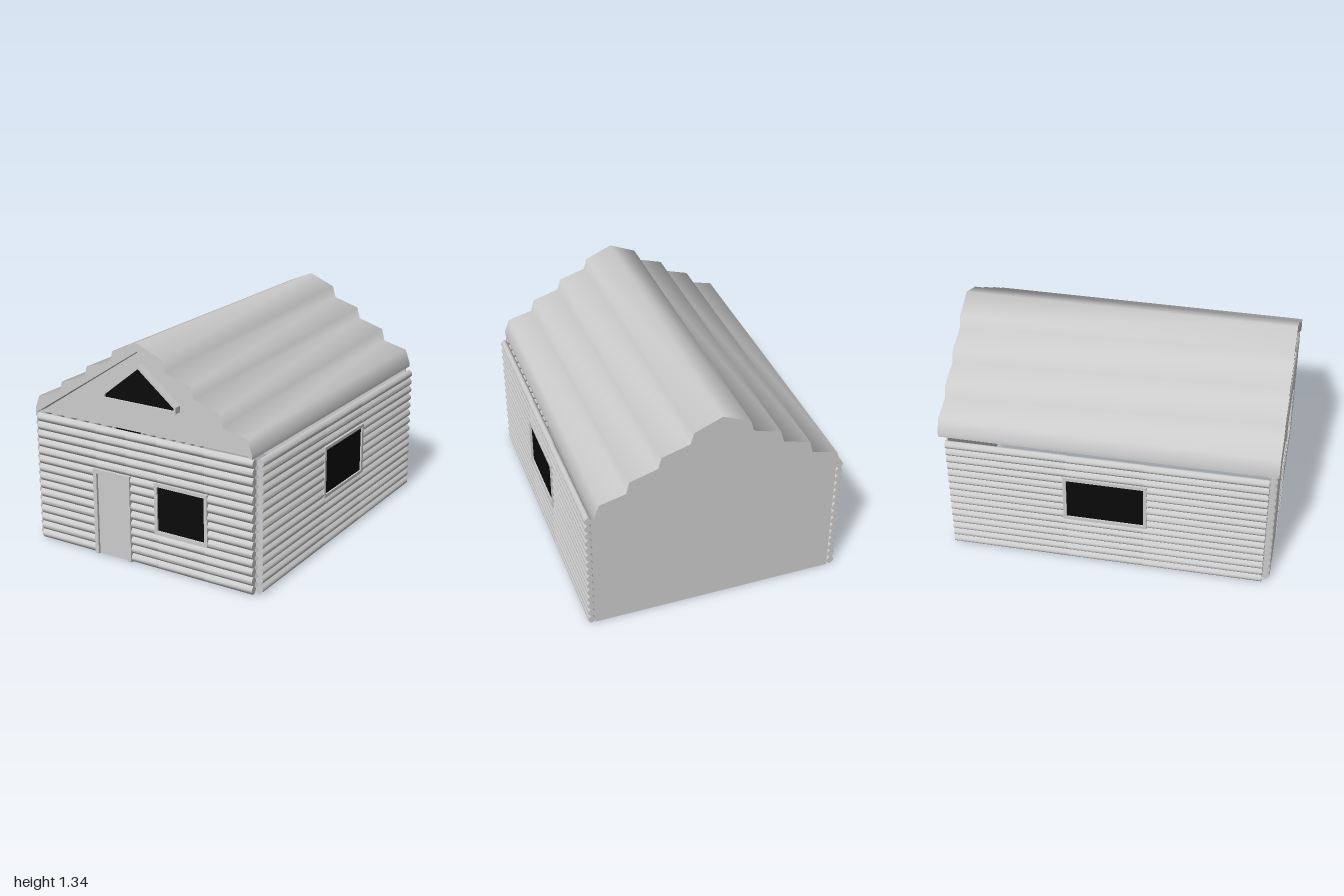
import * as THREE from 'three';
import { toCreasedNormals } from 'three/addons/utils/BufferGeometryUtils.js';

const WOOD = new THREE.MeshStandardMaterial({ color: 0xcccccc, side: THREE.DoubleSide });
const GLASS = new THREE.MeshStandardMaterial({ color: 0x0a0a0a });

const WALL_H = 0.8, LOGS = 15, PITCH = WALL_H / LOGS;
const DEPTH = 0.045, BULGE = 0.018, STEPS = 6;

const toShape = pts => new THREE.Shape(pts.map(([x, y]) => new THREE.Vector2(x, y)));
const rect = (x0, y0, x1, y1) => [[x0, y0], [x1, y0], [x1, y1], [x0, y1]];
// Full outline from the right half of a symmetric profile
const mirrored = half => [...half, ...half.filter(p => p[0] > 0).reverse().map(([x, y]) => [-x, y])];

function extrude(name, pts, z0, z1, { hole, material = WOOD, crease = 0.6 } = {}) {
  const shape = toShape(pts);
  if (hole) shape.holes.push(toShape(hole));
  const geo = new THREE.ExtrudeGeometry(shape, { depth: z1 - z0, bevelEnabled: false });
  geo.translate(0, 0, z0);
  const mesh = new THREE.Mesh(toCreasedNormals(geo, crease), material);
  mesh.name = name;
  return mesh;
}

// Stack of rounded logs between two heights, running along x and facing +z
function logPanel([x0, y0, x1, y1]) {
  const dy = PITCH / STEPS, ys = [y0];
  for (let i = 0; i <= LOGS * STEPS; i++) {
    const y = i * dy;
    if (y > y0 + 1e-4 && y < y1 - 1e-4) ys.push(y);
  }
  ys.push(y1);
  const bulge = y => BULGE * Math.abs(Math.sin(Math.PI * y / PITCH));
  const outer = ys.map(y => [DEPTH - BULGE + bulge(y), y]);
  const inner = ys.map(y => [BULGE - bulge(y), y]).reverse();
  const mesh = extrude('logs', [...outer, ...inner], 0, x1 - x0, { crease: 0.8 });
  mesh.geometry.rotateY(-Math.PI / 2);
  mesh.geometry.translate(x1, 0, 0);
  return mesh;
}

// Log wall with rectangular openings, listed from -x to +x
function logWall(name, halfLength, openings) {
  const wall = new THREE.Group();
  wall.name = name;
  let x = -halfLength;
  for (const [x0, y0, x1, y1] of openings) {
    wall.add(logPanel([x, 0, x0, WALL_H]));
    if (y0 > 0) wall.add(logPanel([x0, 0, x1, y0]));
    wall.add(logPanel([x0, y1, x1, WALL_H]));
    x = x1;
  }
  wall.add(logPanel([x, 0, halfLength, WALL_H]));
  return wall;
}

function addWindow(wall, outer, inner) {
  wall.add(
    extrude('windowFrame', outer, -0.003, 0.048, { hole: inner }),
    extrude('windowGlass', inner, 0.01, 0.038, { material: GLASS })
  );
}

export function createModel() {
  const house = new THREE.Group();
  house.name = 'logCabin';

  // Front wall with door and window
  const door = [-0.31, 0, -0.1, 0.51], win = [0.115, 0.245, 0.43, 0.515];
  const front = logWall('frontWall', 0.74, [door, win]);
  front.position.z = 0.95;
  addWindow(front, rect(0.095, 0.22, 0.45, 0.535), rect(...win));
  front.add(
    extrude('doorFrame', [[-0.335, 0], [-0.31, 0], [-0.31, 0.51], [-0.1, 0.51], [-0.1, 0],
      [-0.075, 0], [-0.075, 0.535], [-0.335, 0.535]], -0.003, 0.05),
    extrude('door', rect(...door), 0.01, 0.035)
  );
  house.add(front);

  // Side walls, each with one window
  const sideWin = [-0.23, 0.345, 0.23, 0.625];
  for (const side of [1, -1]) {
    const wall = logWall(side > 0 ? 'leftWall' : 'rightWall', 0.95, [sideWin]);
    addWindow(wall, rect(-0.25, 0.325, 0.25, 0.645), rect(...sideWin));
    wall.rotation.y = side * Math.PI / 2;
    wall.position.x = side * 0.74;
    house.add(wall);
  }

  // Plain back wall and front gable, set in from the roof ends
  house.add(
    extrude('backWall', mirrored([[0, 1.29], [0.74, 0.81], [0.74, 0]]), -0.95, -0.94),
    extrude('frontGable', [[-0.74, 0.8], [0.74, 0.8], [0, 1.29]], 0.94, 0.95)
  );

  // Triangular gable window
  const trim = mirrored([[0, 1.21], [0.25, 1.01], [0.25, 0.972]]);
  const pane = mirrored([[0, 1.19], [0.235, 1.003], [0.235, 0.987]]);
  house.add(
    extrude('gableWindowFrame', trim, 0.945, 0.995, { hole: pane }),
    extrude('gableWindowGlass', pane, 0.945, 0.985, { material: GLASS })
  );

  // Roof of overlapping courses, hollow below
  const top = [[0, 1.34], [0.165, 1.27], [0.185, 1.2], [0.35, 1.15], [0.37, 1.08],
    [0.535, 1.03], [0.555, 0.955], [0.71, 0.915], [0.74, 0.835], [0.74, 0.805]];
  const left = top.slice(1).reverse().map(([x, y]) => [-x, y]);
  house.add(extrude('roof', [...left, ...top, [0, 1.29]], -1, 1, { crease: 1.1 }));

  return house;
}
